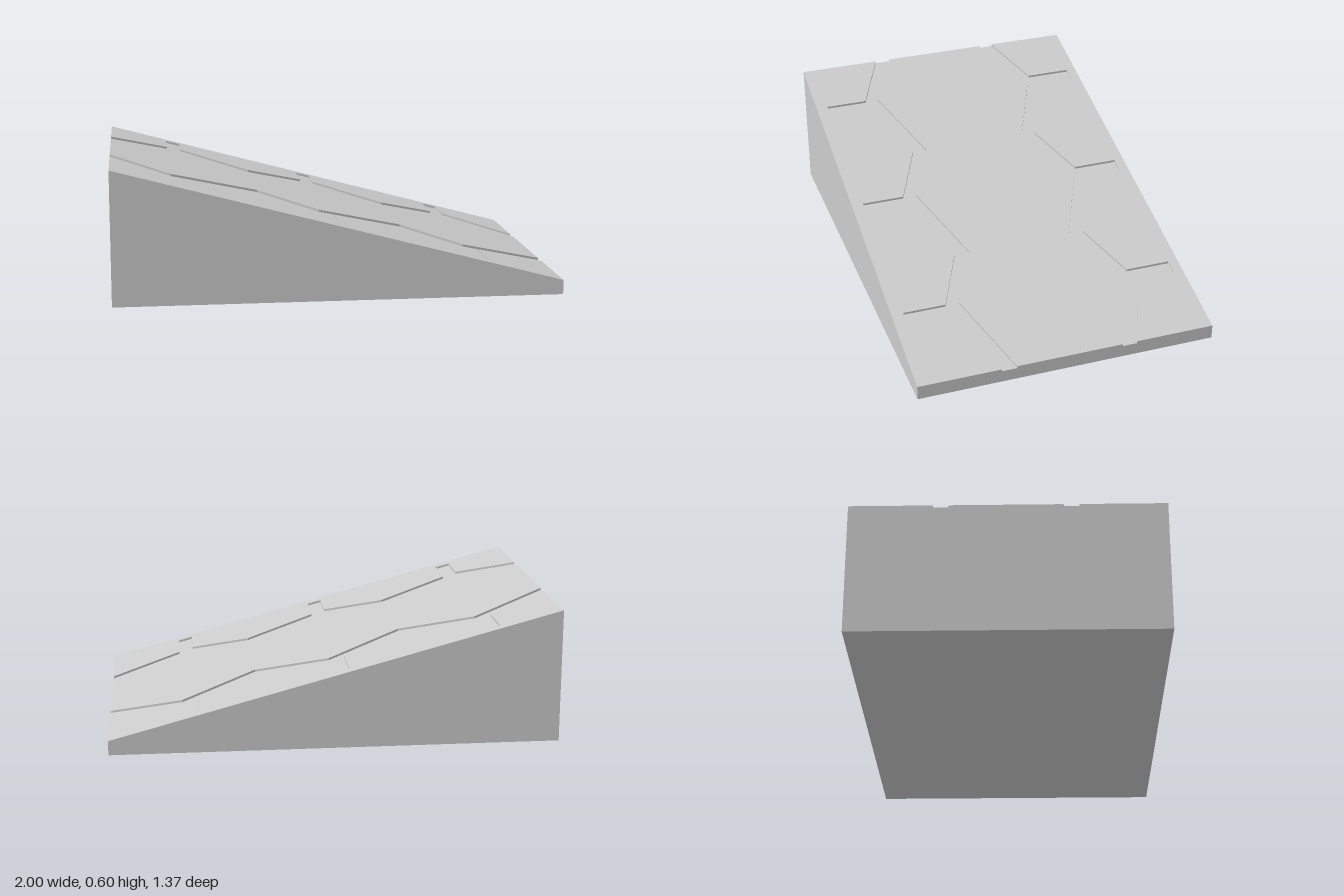
import * as THREE from 'three';

const HALF_WIDTH = 0.687;
const GROOVE = 0.01;
const PERIOD = 2 / 3;
const slopeY = (x) => 0.3325 - 0.2675 * x;
const material = new THREE.MeshStandardMaterial({ color: 0xcccccc, flatShading: true });

// Slab cut from an outline of [x, z] points, sheared to lie on the slope
function land(name, outline) {
  const shape = new THREE.Shape(outline.map(([x, z]) => new THREE.Vector2(x, -z)));
  const geometry = new THREE.ExtrudeGeometry(shape, { depth: GROOVE, bevelEnabled: false });
  geometry.rotateX(-Math.PI / 2);
  const p = geometry.attributes.position;
  for (let i = 0; i < p.count; i++) p.setY(i, p.getY(i) + slopeY(p.getX(i)) - GROOVE);
  geometry.computeVertexNormals();
  const mesh = new THREE.Mesh(geometry, material);
  mesh.name = name;
  return mesh;
}

// Repeat one period of edge points along x, closing at the far end
function repeatEdge(points) {
  const edge = [];
  for (let k = 0; k < 3; k++) {
    for (const [dx, z] of points) edge.push([-1 + k * PERIOD + dx, z]);
  }
  edge.push([1, points[0][1]]);
  return edge;
}

// Outer land: zigzag edge with a side slot at each peak, closed by the straight side
function outerLand(name, edge, side) {
  return land(name, [...repeatEdge(edge), [1, side], [-1, side]]);
}

export function createModel() {
  const group = new THREE.Group();
  group.name = 'wedgeRamp';

  // Wedge body, its top lowered to the groove floor
  const profile = new THREE.Shape([
    new THREE.Vector2(-1, 0),
    new THREE.Vector2(1, 0),
    new THREE.Vector2(1, slopeY(1) - GROOVE),
    new THREE.Vector2(-1, slopeY(-1) - GROOVE),
  ]);
  const bodyGeometry = new THREE.ExtrudeGeometry(profile, { depth: 2 * HALF_WIDTH, bevelEnabled: false });
  bodyGeometry.translate(0, 0, -HALF_WIDTH);
  const body = new THREE.Mesh(bodyGeometry, material);
  body.name = 'wedgeBody';
  group.add(body);

  // Raised lands; the gaps between them are the tread grooves
  const slotA = 0.272, slotB = 0.338;
  group.add(outerLand('backLand', [
    [0, -0.321], [slotA, -0.434], [slotA, -0.642], [slotB, -0.642], [slotB, -0.461],
  ], -HALF_WIDTH));
  group.add(outerLand('frontLand', [
    [0, 0.308], [slotA, 0.437], [slotA, 0.633], [slotB, 0.633], [slotB, 0.416],
  ], HALF_WIDTH));

  const backEdge = repeatEdge([[0, -0.254], [slotB, -0.401]]);
  const frontEdge = repeatEdge([[0, 0.237], [slotA, 0.374]]);
  group.add(land('centreLand', [...backEdge, ...frontEdge.reverse()]));

  return group;
}
